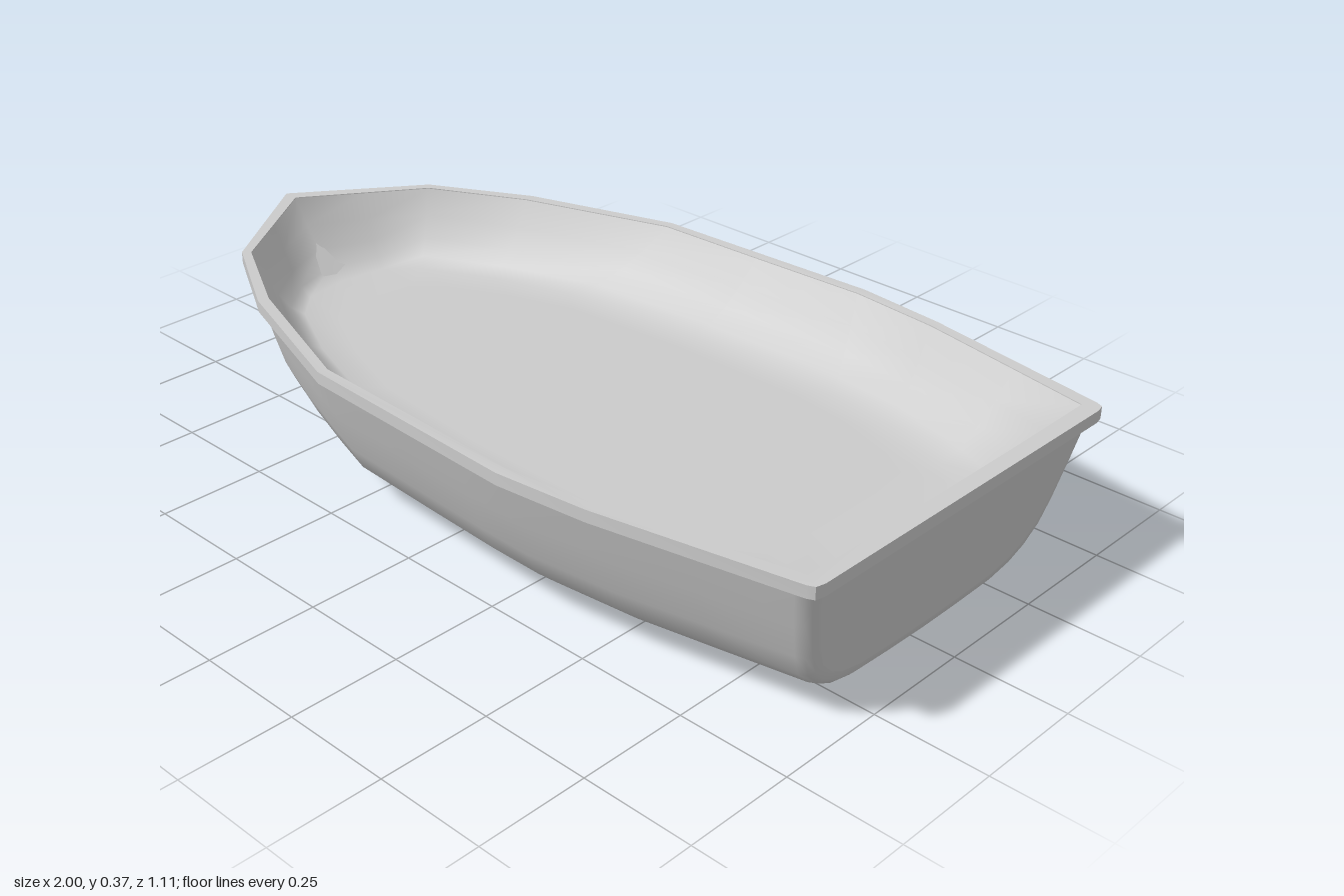
import * as THREE from 'three';
import { mergeVertices, toCreasedNormals } from 'three/addons/utils/BufferGeometryUtils.js';

const material = new THREE.MeshStandardMaterial({ color: 0xcccccc, side: THREE.DoubleSide });

// Linear lookup in a list of [x, value] pairs
function lookup(table, x) {
  let i = 1;
  while (i < table.length - 1 && x > table[i][0]) i++;
  const [x0, a] = table[i - 1], [x1, b] = table[i];
  return a + (b - a) * THREE.MathUtils.clamp((x - x0) / (x1 - x0), 0, 1);
}

// Skin equal-length rows of [x, y, z] points
function loft(rows, closed) {
  const n = rows[0].length, index = [];
  const span = closed ? n : n - 1;
  for (let r = 0; r < rows.length - 1; r++) {
    for (let i = 0; i < span; i++) {
      const j = (i + 1) % n;
      const a = r * n + i, b = r * n + j, c = a + n, d = b + n;
      index.push(a, c, b, b, c, d);
    }
  }
  const geometry = new THREE.BufferGeometry();
  geometry.setAttribute('position', new THREE.Float32BufferAttribute(rows.flat(2), 3));
  geometry.setIndex(index);
  const welded = mergeVertices(geometry, 1e-4);
  welded.computeVertexNormals();
  return welded;
}

// Full outline from one half that begins and ends on the centreline
function mirrored(half) {
  const other = half.slice(1, -1).reverse().map(([x, z]) => [x, -z]);
  return [...half, ...other];
}

// Slight rise of the gunwale towards both ends
const sheer = (x) => 0.006 * x * x;

// Half outlines seen from above, bow to stern
const rimOuter = [[-1, 0], [-0.8, 0.285], [-0.57, 0.415], [-0.22, 0.533], [0.33, 0.557],
  [0.54, 0.535], [0.98, 0.452], [0.995, 0.445], [1, 0.425], [1, 0]];
const rimInner = [[-0.965, 0], [-0.875, 0.135], [-0.785, 0.27], [-0.565, 0.39], [-0.215, 0.511], [0.05, 0.521],
  [0.33, 0.532], [0.54, 0.511], [0.78, 0.463], [0.962, 0.425], [0.964, 0.2], [0.964, 0]];
const floorEdge = [[-0.8, 0], [-0.785, 0.11], [-0.72, 0.18], [-0.55, 0.265], [-0.36, 0.33], [0, 0.362],
  [0.4, 0.367], [0.57, 0.345], [0.74, 0.29], [0.82, 0.24], [0.835, 0.12], [0.835, 0]];

// Outer hull: U-shaped sections along the length, closed by a raked transom
function hullGeometries() {
  const keel = [[-0.985, 0.342], [-0.8, 0.19], [-0.72, 0.135], [-0.6, 0.085], [-0.45, 0.04], [-0.3, 0.016],
    [-0.15, 0.008], [0.2, 0], [0.6, 0.009], [0.95, 0.02], [0.968, 0.024], [0.978, 0.035], [0.983, 0.052]];
  const halfWidth = [[-0.985, 0], [-0.79, 0.277], [-0.57, 0.402], [-0.22, 0.522], [0.33, 0.546],
    [0.54, 0.524], [0.95, 0.447], [0.968, 0.44], [0.978, 0.43], [0.983, 0.413]];
  // Unit half section, sheer to keel: width, height
  const section = [[1, 1], [0.94, 0.7], [0.88, 0.43], [0.825, 0.26], [0.74, 0.14],
    [0.64, 0.066], [0.5, 0.022], [0.24, 0.006], [0, 0]];
  const fullSection = [...section.map(([u, v]) => [-u, v]), ...section.slice(0, -1).reverse()];
  const stations = [-0.985, -0.94, -0.89, -0.79, -0.72, -0.65, -0.57, -0.45, -0.33, -0.22, 0, 0.2, 0.33,
    0.54, 0.75, 0.95, 0.968, 0.978, 0.983];
  const rows = stations.map((x) => {
    const bottom = lookup(keel, x), w = lookup(halfWidth, x), top = 0.342 + sheer(x);
    const rake = 0.052 * THREE.MathUtils.clamp((x - 0.5) / 0.45, 0, 1);
    return fullSection.map(([u, v]) => [x - rake * (1 - v), bottom + (top - bottom) * v, u * w]);
  });
  const last = rows[rows.length - 1];
  const centreline = last.map(([x, y]) => [x, y, 0]);
  return [loft(rows, false), loft([last, centreline], false)];
}

// Gunwale: a flat band following the hull outline
function gunwaleGeometry() {
  const toVectors = (half) => mirrored(half).map(([x, z]) => new THREE.Vector2(x, z));
  const shape = new THREE.Shape(toVectors(rimOuter));
  shape.holes.push(new THREE.Path(toVectors(rimInner)));
  const geometry = new THREE.ExtrudeGeometry(shape, { depth: 0.027, bevelEnabled: false });
  geometry.rotateX(-Math.PI / 2);
  const p = geometry.attributes.position;
  for (let i = 0; i < p.count; i++) p.setY(i, p.getY(i) + 0.335 + sheer(p.getX(i)));
  return toCreasedNormals(geometry, 0.6);
}

// Interior: walls that curve down into a flat floor
function interiorGeometry() {
  const rim = mirrored(rimInner), foot = mirrored(floorEdge);
  const floorY = 0.2;
  const steps = [[1, 1], [0.76, 0.64], [0.52, 0.34], [0.28, 0.12], [0, 0]];
  const rows = steps.map(([f, v]) => rim.map(([x, z], i) => [
    THREE.MathUtils.lerp(foot[i][0], x, f),
    THREE.MathUtils.lerp(floorY, 0.36 + sheer(x), v),
    THREE.MathUtils.lerp(foot[i][1], z, f),
  ]));
  for (const s of [0.85, 0]) rows.push(foot.map(([x, z]) => [0.05 + (x - 0.05) * s, floorY, z * s]));
  return loft(rows.reverse(), true);
}

export function createModel() {
  const boat = new THREE.Group();
  boat.name = 'rowingBoat';
  const add = (name, geometry) => {
    const mesh = new THREE.Mesh(geometry, material);
    mesh.name = name;
    boat.add(mesh);
  };
  const [hull, transom] = hullGeometries();
  add('hull', hull);
  add('transom', transom);
  add('gunwale', gunwaleGeometry());
  add('interior', interiorGeometry());
  return boat;
}
